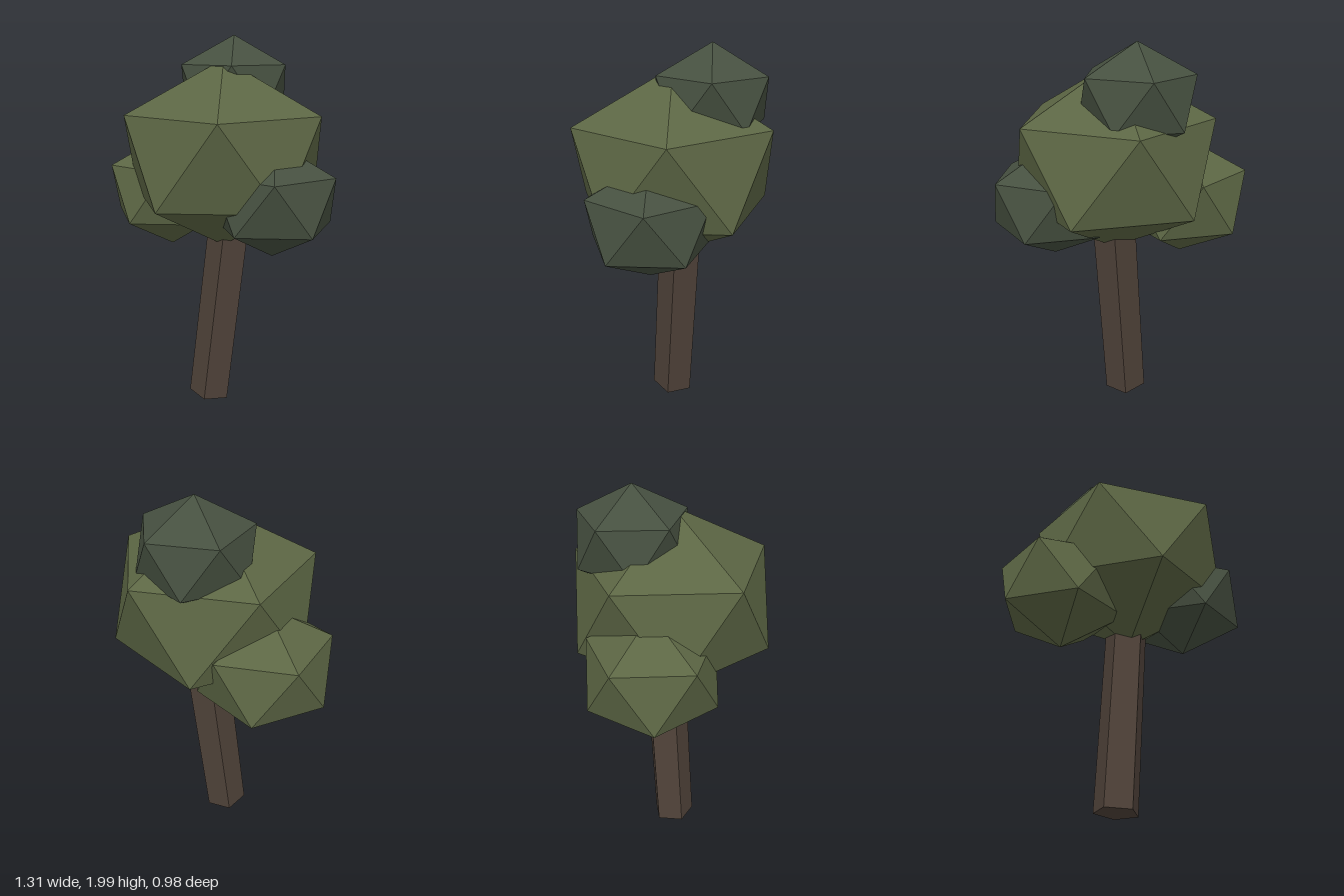
import * as THREE from 'three';

const material = (color) => new THREE.MeshStandardMaterial({ color, flatShading: true });

// Icosahedron standing on a corner, slightly squashed, one upper corner towards +x
function foliage(name, radius, height, position, mat) {
  const geometry = new THREE.IcosahedronGeometry(1, 0);
  geometry.rotateX(-Math.atan((1 + Math.sqrt(5)) / 2));
  geometry.rotateY(Math.PI / 2);
  geometry.scale(radius, height, radius);
  geometry.computeVertexNormals();
  const mesh = new THREE.Mesh(geometry, mat);
  mesh.name = name;
  mesh.position.set(...position);
  return mesh;
}

export function createModel() {
  const tree = new THREE.Group();
  tree.name = 'tree';

  const lightGreen = material(0x5c6644);
  const darkGreen = material(0x465040);
  const bark = material(0x4f4239);

  // Leaning five-sided trunk, its top buried in the crown
  const trunkGeometry = new THREE.CylinderGeometry(0.116, 0.116, 1.2, 5);
  trunkGeometry.translate(0, 0.6, 0);
  trunkGeometry.rotateY(0.09);
  const trunk = new THREE.Mesh(trunkGeometry, bark);
  trunk.name = 'trunk';
  trunk.position.set(-0.042, 0.016, 0.003);
  trunk.rotation.set(-0.048, 0, -0.1);
  tree.add(trunk);

  // Crown: one large clump with three smaller ones around it
  tree.add(
    foliage('mainFoliage', 0.575, 0.489, [0.036, 1.393, 0], lightGreen),
    foliage('rightFoliage', 0.373, 0.322, [-0.32, 1.168, -0.115], lightGreen),
    foliage('leftFoliage', 0.352, 0.295, [0.34, 1.198, 0.095], darkGreen),
    foliage('topFoliage', 0.318, 0.271, [0.02, 1.729, -0.19], darkGreen),
  );

  return tree;
}
